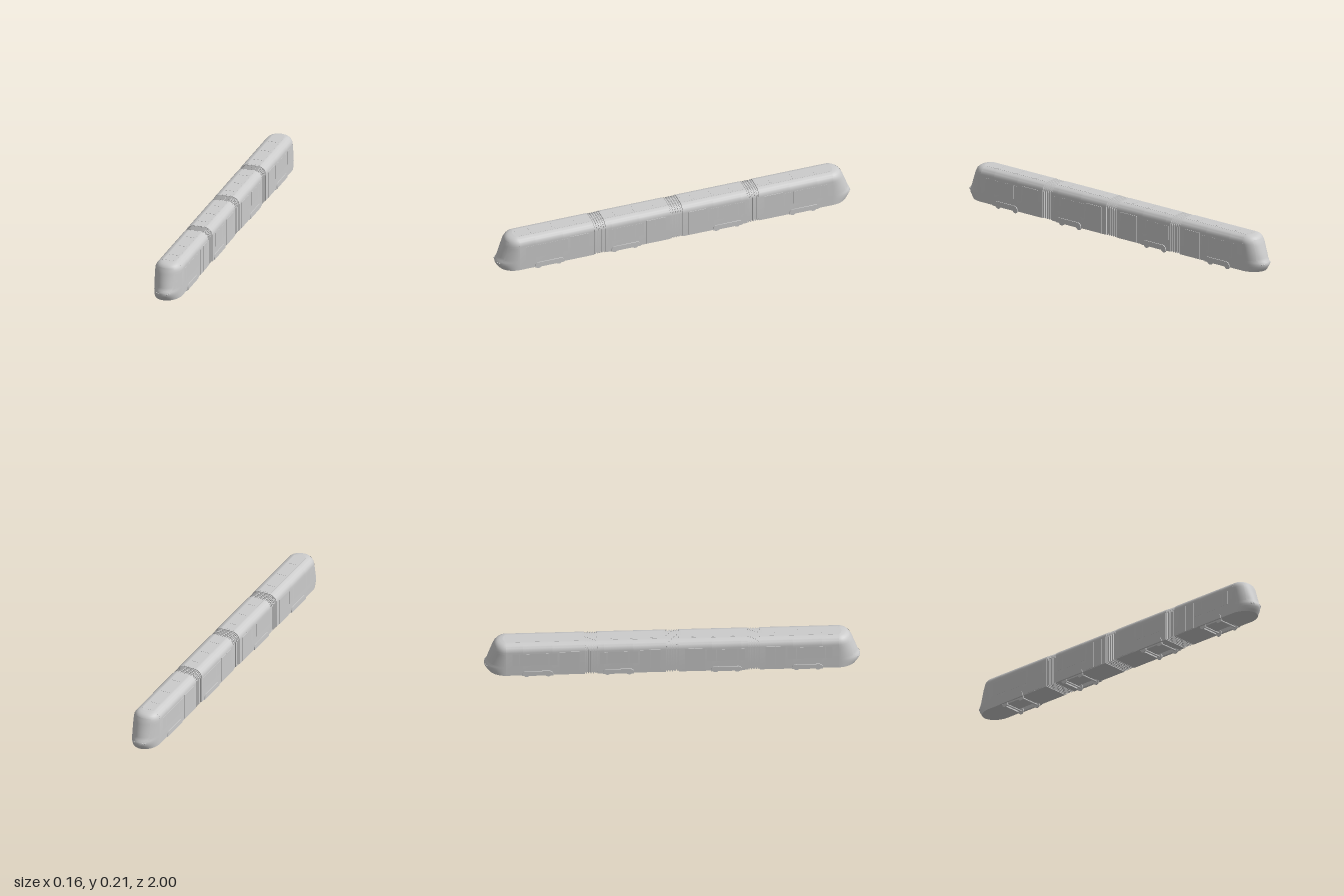
import * as THREE from 'three';
import { toCreasedNormals } from 'three/addons/utils/BufferGeometryUtils.js';

const grey = new THREE.MeshStandardMaterial({ color: 0xcccccc });
const greyDouble = new THREE.MeshStandardMaterial({ color: 0xcccccc, side: THREE.DoubleSide });
const W = 0.074, FLOOR = 0.018, SHOULDER = 0.167, TOP = 0.21, NOSE_Z = 0.885;

// half width of the body at a height
function halfWidth(y) {
  if (y <= SHOULDER) return W;
  const t = Math.min(1, (y - SHOULDER) / (TOP - SHOULDER));
  return 0.03 + (W - 0.03) * Math.sqrt(1 - t * t);
}

// cross-section of the body, optionally with a wheel well cut in from below
function section(scale = 1, well = false) {
  const half = [];
  for (let i = 0; i <= 10; i++) {
    const a = (i / 10) * Math.PI / 2;
    half.push([0.03 + (W - 0.03) * Math.cos(a), SHOULDER + (TOP - SHOULDER) * Math.sin(a)]);
  }
  const pts = [[W, FLOOR], ...half, ...half.map(([x, y]) => [-x, y]).reverse(), [-W, FLOOR]];
  if (well) pts.push([-0.067, FLOOR], [-0.067, 0.055], [0.067, 0.055], [0.067, FLOOR]);
  return new THREE.Shape(pts.map(([x, y]) => new THREE.Vector2(x * scale, 0.11 + (y - 0.11) * scale)));
}

function add(parent, name, geo, material = grey) {
  const m = new THREE.Mesh(geo, material);
  m.name = name;
  parent.add(m);
  return m;
}

function extrude(parent, name, shape, z0, z1) {
  const g = new THREE.ExtrudeGeometry(shape, { depth: z1 - z0, bevelEnabled: false });
  g.translate(0, 0, z0);
  return add(parent, name, toCreasedNormals(g, 0.6));
}

function box(parent, name, x0, x1, y0, y1, z0, z1) {
  const g = new THREE.BoxGeometry(x1 - x0, y1 - y0, z1 - z0);
  g.translate((x0 + x1) / 2, (y0 + y1) / 2, (z0 + z1) / 2);
  return add(parent, name, g);
}

// nose profile: height, furthest z
const profile = [[0.018, 0.978], [0.03, 0.987], [0.045, 0.997], [0.058, 1], [0.068, 0.996], [0.08, 0.987],
  [0.11, 0.977], [0.14, 0.966], [0.167, 0.956], [0.18, 0.95], [0.19, 0.945], [0.198, 0.938],
  [0.204, 0.929], [0.208, 0.916], [0.21, 0.9]];

function noseReach(y) {
  for (let i = 1; i < profile.length; i++) {
    const [y0, d0] = profile[i - 1], [y1, d1] = profile[i];
    if (y <= y1) return d0 + (d1 - d0) * (y - y0) / (y1 - y0);
  }
  return 0.9;
}

// point on the nose, a runs from -1 (right) to 1 (left)
function nosePoint(a, y, off = 0) {
  const t = a * Math.PI / 2;
  const c = Math.pow(Math.max(0, Math.cos(t)), 1.05);
  return [(halfWidth(y) + off) * Math.sin(t), y, NOSE_Z + (noseReach(y) + off - NOSE_Z) * c];
}

// curved grid on the nose between two angles, through the given heights
function nosePatch(parent, name, a0, a1, ys, off, n) {
  const pos = [], idx = [];
  ys.forEach((y, j) => {
    for (let i = 0; i <= n; i++) {
      pos.push(...nosePoint(a0 + (a1 - a0) * i / n, y, off));
      if (i < n && j < ys.length - 1) {
        const k = j * (n + 1) + i, u = k + n + 1;
        idx.push(k, k + 1, u + 1, k, u + 1, u);
      }
    }
  });
  const g = new THREE.BufferGeometry();
  g.setAttribute('position', new THREE.Float32BufferAttribute(pos, 3));
  g.setIndex(idx);
  g.computeVertexNormals();
  return add(parent, name, g, greyDouble);
}

function span(y0, y1, n) {
  return Array.from({ length: n + 1 }, (_, i) => y0 + (y1 - y0) * i / n);
}

// flat lid over the nose at one height
function noseLid(parent, name, y) {
  const s = new THREE.Shape();
  for (let i = 0; i <= 32; i++) {
    const [x, , z] = nosePoint(-1 + i / 16, y);
    if (i) s.lineTo(x, -z); else s.moveTo(x, -z);
  }
  const g = new THREE.ShapeGeometry(s);
  g.rotateX(-Math.PI / 2);
  g.translate(0, y, 0);
  add(parent, name, g, greyDouble);
}

function cabNose() {
  const g = new THREE.Group();
  g.name = 'cabNose';
  nosePatch(g, 'noseShell', -1, 1, profile.map(p => p[0]), 0, 32);
  noseLid(g, 'noseFloor', FLOOR);
  noseLid(g, 'noseRoof', TOP);
  nosePatch(g, 'windscreen', -0.41, 0.41, span(0.074, 0.19, 14), 0.0015, 16);
  for (const s of [-1, 1]) {
    nosePatch(g, 'cabSideWindow', s * 0.46, s * 0.92, span(0.08, 0.158, 10), 0.001, 10);
    nosePatch(g, 'headlightHousing', s * 0.16, s * 0.38, span(0.051, 0.068, 5), 0.0015, 6);
    // paired lamps in each housing
    for (const a of [0.21, 0.31]) {
      const lamp = add(g, 'headlight', new THREE.SphereGeometry(0.0045, 12, 8));
      lamp.position.set(...nosePoint(s * a, 0.06));
    }
  }
  return g;
}

// two axles in a frame, with a rounded skirt on each side
function bogie(zc) {
  const g = new THREE.Group();
  g.name = 'bogie';
  box(g, 'bogieFrame', -0.045, 0.045, 0.024, 0.045, -0.07, 0.07);
  const skirt = new THREE.Shape();
  skirt.moveTo(-0.083, 0.017);
  skirt.lineTo(0.083, 0.017);
  skirt.lineTo(0.083, 0.026);
  skirt.quadraticCurveTo(0.078, 0.045, 0.062, 0.046);
  skirt.lineTo(-0.062, 0.046);
  skirt.quadraticCurveTo(-0.078, 0.045, -0.083, 0.026);
  for (const s of [-1, 1]) {
    const sg = new THREE.ExtrudeGeometry(skirt, { depth: 0.006, bevelEnabled: false });
    sg.rotateY(Math.PI / 2);
    sg.translate(s > 0 ? 0.0725 : -0.0785, 0, 0);
    add(g, 'bogieSkirt', toCreasedNormals(sg, 0.6));
    for (const z of [-0.058, 0.058]) {
      const wheel = add(g, 'wheel', new THREE.CylinderGeometry(0.018, 0.018, 0.005, 24));
      wheel.rotation.z = Math.PI / 2;
      wheel.position.set(s * 0.0625, 0.018, z);
    }
  }
  for (const z of [-0.058, 0.058]) {
    const axle = add(g, 'axle', new THREE.CylinderGeometry(0.005, 0.005, 0.125, 10));
    axle.rotation.z = Math.PI / 2;
    axle.position.set(0, 0.018, z);
  }
  g.position.z = zc;
  return g;
}

// straight body with wheel well, doors, windows and roof panels
function car(name, z0, z1, bogieZ, door, windows) {
  const g = new THREE.Group();
  g.name = name;
  const w0 = bogieZ - 0.078, w1 = bogieZ + 0.078;
  extrude(g, 'bodyShell', section(), z0, w0);
  extrude(g, 'bodyShellOverWheels', section(1, true), w0, w1);
  extrude(g, 'bodyShell', section(), w1, z1);
  g.add(bogie(bogieZ));
  const mid = (door[0] + door[1]) / 2;
  for (const s of [-1, 1]) {
    const side = (part, x, y0, y1, a, b) =>
      box(g, part, Math.min(s * 0.07, s * x), Math.max(s * 0.07, s * x), y0, y1, a, b);
    side('doorLeaf', 0.077, 0.021, 0.168, door[0], mid - 0.0008);
    side('doorLeaf', 0.077, 0.021, 0.168, mid + 0.0008, door[1]);
    for (const [a, b] of windows) side('sideWindow', 0.0747, 0.082, 0.159, a, b);
  }
  box(g, 'roofPanel', -0.034, 0.034, 0.205, 0.2105, z0 + 0.012, z1 - 0.004);
  for (let i = 0; i < 3; i++) {
    const z = z0 + (z1 - z0) * (0.2 + 0.3 * i);
    box(g, 'roofHatch', -0.026, 0.026, 0.209, 0.2115, z - 0.006, z + 0.006);
  }
  return g;
}

// ribbed gangway between cars
function bellows(z0, z1) {
  const g = new THREE.Group();
  g.name = 'bellows';
  extrude(g, 'bellowsCore', section(0.92), z0, z1);
  const n = 5, pitch = (z1 - z0) / n;
  for (let i = 0; i < n; i++) {
    const z = z0 + pitch * (i + 0.5);
    extrude(g, 'bellowsRib', section(0.955), z - pitch * 0.38, z + pitch * 0.38);
    extrude(g, 'bellowsRib', section(0.985), z - pitch * 0.2, z + pitch * 0.2);
  }
  return g;
}

function halfTram(name) {
  const g = new THREE.Group();
  g.name = name;
  g.add(cabNose());
  g.add(car('cabCar', 0.465, NOSE_Z, 0.717, [0.495, 0.6], [[0.612, 0.655], [0.66, 0.81], [0.815, 0.85]]));
  g.add(bellows(0.4, 0.465));
  g.add(car('middleCar', 0.035, 0.4, 0.287, [0.065, 0.172], [[0.184, 0.23], [0.235, 0.345], [0.35, 0.385]]));
  return g;
}

export function createModel() {
  const tram = new THREE.Group();
  tram.name = 'tram';
  const rear = halfTram('rearHalf');
  rear.rotation.y = Math.PI;
  tram.add(halfTram('frontHalf'), rear, bellows(-0.035, 0.035));
  return tram;
}
